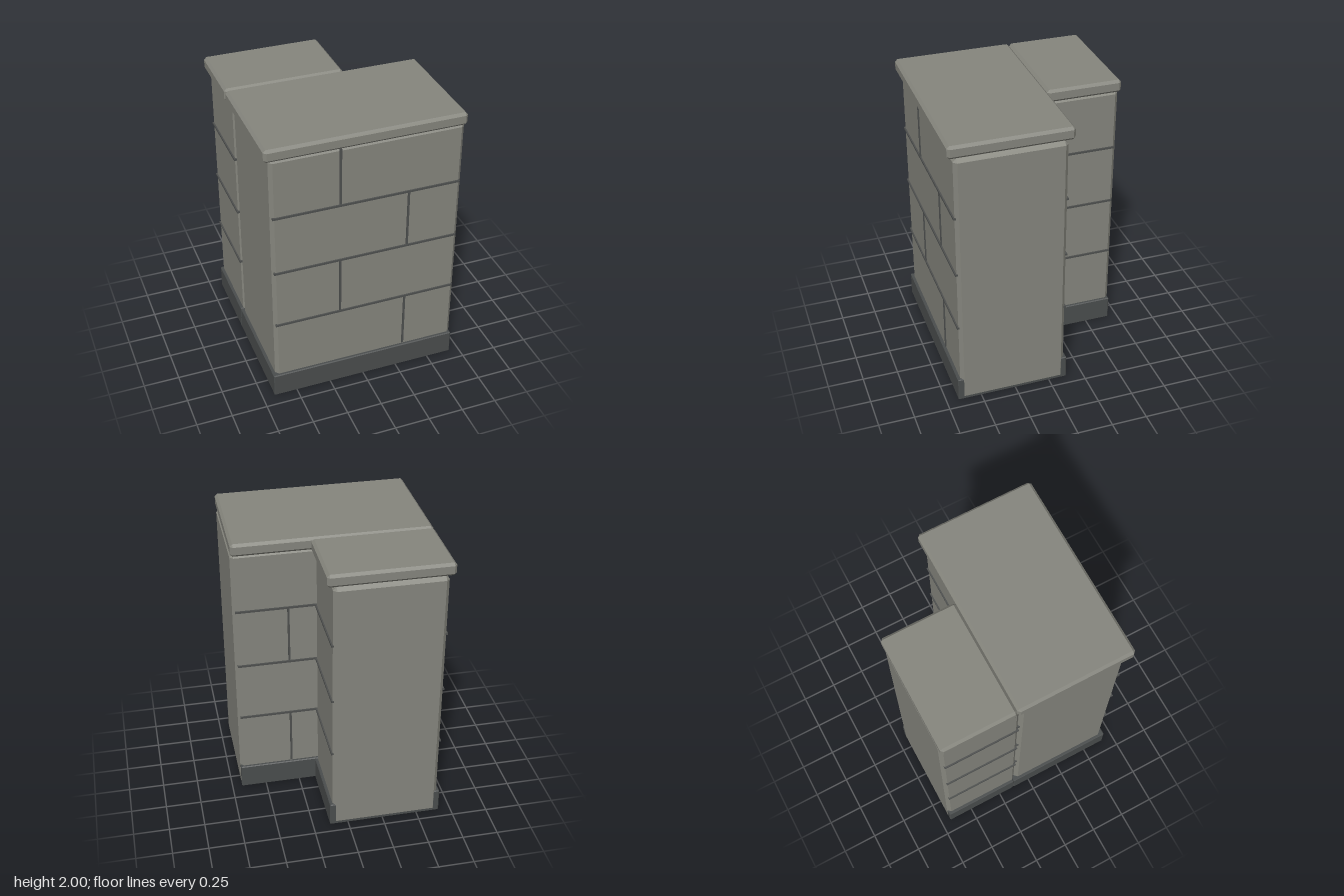
import * as THREE from 'three';
import { ConvexGeometry } from 'three/addons/geometries/ConvexGeometry.js';

const stone = new THREE.MeshStandardMaterial({ color: 0x85857d });
const plinthStone = new THREE.MeshStandardMaterial({ color: 0x4a4d4d });
const mortar = new THREE.MeshStandardMaterial({ color: 0x4e504f });

// Box between two corners with every edge chamfered by c
function chamferBox(min, max, c) {
  const points = [];
  for (let i = 0; i < 8; i++) {
    const side = [i & 1, (i >> 1) & 1, (i >> 2) & 1];
    for (let keep = 0; keep < 3; keep++) {
      const p = side.map((s, a) => {
        const inset = a === keep ? 0 : c;
        return s ? max[a] - inset : min[a] + inset;
      });
      points.push(new THREE.Vector3(...p));
    }
  }
  return new ConvexGeometry(points);
}

function plainBox(min, max) {
  const size = max.map((v, a) => v - min[a]);
  return new THREE.BoxGeometry(...size).translate(...max.map((v, a) => (v + min[a]) / 2));
}

export function createModel() {
  const model = new THREE.Group();
  model.name = 'cornerWall';

  const add = (parent, name, geometry, material) => {
    const mesh = new THREE.Mesh(geometry, material);
    mesh.name = name;
    parent.add(mesh);
  };

  const section = (name) => {
    const group = new THREE.Group();
    group.name = name;
    model.add(group);
    return group;
  };

  const main = section('mainWall');
  const wing = section('wingWall');

  // Wall bodies, plinths and coping slabs
  add(main, 'mainBody', chamferBox([-0.645, 0.002, -0.11], [0.682, 1.905, 0.645], 0.024), stone);
  add(main, 'mainPlinth', chamferBox([-0.665, 0, -0.13], [0.68, 0.175, 0.665], 0.006), plinthStone);
  add(main, 'mainCoping', chamferBox([-0.685, 1.91, -0.154], [0.682, 2, 0.682], 0.018), stone);

  add(wing, 'wingBody', chamferBox([-0.645, 0.002, -0.682], [0.11, 1.905, -0.113], 0.024), stone);
  add(wing, 'wingPlinth', chamferBox([-0.665, 0, -0.68], [0.13, 0.175, -0.131], 0.006), plinthStone);
  add(wing, 'wingCoping', chamferBox([-0.685, 1.91, -0.685], [0.15, 2, -0.155], 0.018), stone);

  // Bed joints run along both long faces of each wall
  const bedHeights = [0.61, 1.043, 1.475];
  const half = 0.007;
  for (const y of bedHeights) {
    for (const z of [0.645, -0.11]) {
      add(main, 'mainBedJoint', plainBox([-0.635, y - half, z - 0.01], [0.665, y + half, z + 0.01]), mortar);
    }
    for (const x of [-0.645, 0.11]) {
      add(wing, 'wingBedJoint', plainBox([x - 0.01, y - half, -0.665], [x + 0.01, y + half, -0.12]), mortar);
    }
  }

  // Upright joints alternate from course to course
  const courses = [0.175, ...bedHeights, 1.908];
  for (let i = 0; i < 4; i++) {
    const x = i % 2 ? -0.175 : 0.303;
    for (const z of [0.645, -0.11]) {
      add(main, 'uprightJoint',
        plainBox([x - half, courses[i] + 0.01, z - 0.008], [x + half, courses[i + 1] - 0.01, z + 0.008]), mortar);
    }
  }

  return model;
}
